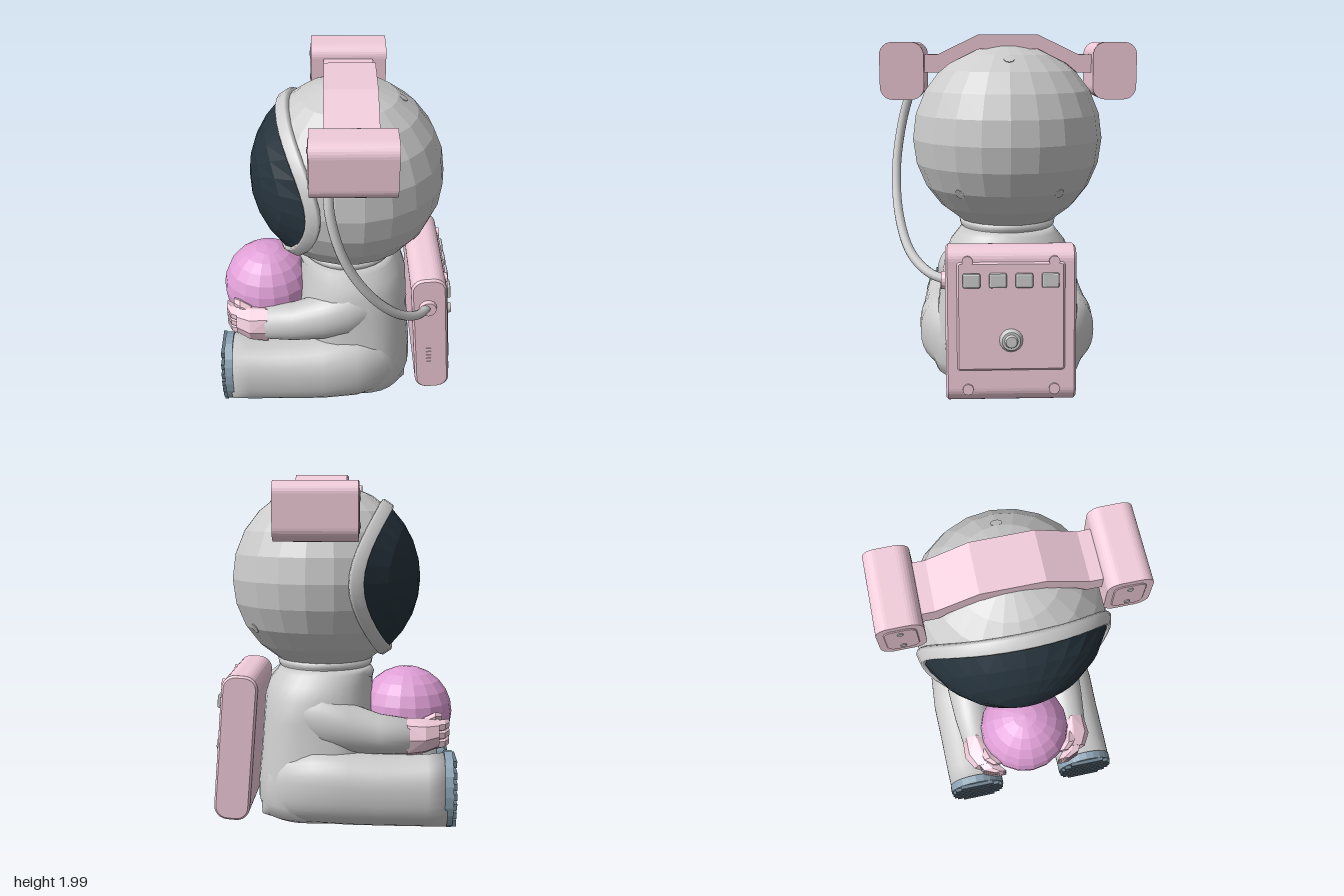
import * as THREE from 'three';
import { ConvexGeometry } from 'three/addons/geometries/ConvexGeometry.js';
import { RoundedBoxGeometry } from 'three/addons/geometries/RoundedBoxGeometry.js';

const mat = (color, flatShading = false) => new THREE.MeshStandardMaterial({ color, flatShading });
const grey = mat(0xcccccc), greyFlat = mat(0xcccccc, true);
const pink = mat(0xf0cbd9, true), orchid = mat(0xdf9fd6, true);
const slate = mat(0x8ba2b3, true), tread = mat(0x647786, true), glass = mat(0x26333c, true);
const V = (x, y, z) => new THREE.Vector3(x, y, z);

function add(parent, name, geometry, material, x = 0, y = 0, z = 0) {
  const m = new THREE.Mesh(geometry, material);
  m.name = name;
  m.position.set(x, y, z);
  parent.add(m);
  return m;
}

// Skin a list of equal-length rings; winding is set so the solid faces outward
function loft(rings, caps = true) {
  const n = rings[0].length, pts = rings.flat(), idx = [];
  for (let i = 0; i < rings.length - 1; i++)
    for (let j = 0; j < n; j++) {
      const a = i * n + j, b = i * n + (j + 1) % n;
      idx.push(a, b, a + n, b, b + n, a + n);
    }
  if (caps) for (const end of [0, rings.length - 1]) {
    const c = pts.length;
    pts.push(rings[end].reduce((s, p) => s.add(p), V(0, 0, 0)).divideScalar(n));
    for (let j = 0; j < n; j++) {
      const a = end * n + j, b = end * n + (j + 1) % n;
      idx.push(...(end ? [a, b, c] : [b, a, c]));
    }
  }
  let volume = 0;
  for (let i = 0; i < idx.length; i += 3)
    volume += pts[idx[i]].dot(pts[idx[i + 1]].clone().cross(pts[idx[i + 2]]));
  if (volume < 0) idx.reverse();
  const g = new THREE.BufferGeometry().setFromPoints(pts);
  g.setIndex(idx);
  g.computeVertexNormals();
  return g;
}

// Superellipse ring around centre c, spanned by axes u and v
function ring(c, u, v, p = 2, n = 32) {
  const f = t => Math.sign(t) * Math.abs(t) ** (2 / p);
  return Array.from({ length: n }, (_, i) => {
    const a = i / n * Math.PI * 2;
    return c.clone().addScaledVector(u, f(Math.cos(a))).addScaledVector(v, f(Math.sin(a)));
  });
}
const xRing = (x, y, z, ry, rz, p, n) => ring(V(x, y, z), V(0, ry, 0), V(0, 0, rz), p, n);
const yRing = (y, x0, x1, rz, p) => ring(V((x0 + x1) / 2, y, 0), V((x1 - x0) / 2, 0, 0), V(0, 0, rz), p);

function roundedRect(w, h, r) {
  const s = new THREE.Shape(), x = w / 2 - r, y = h / 2 - r;
  s.absarc(x, y, r, 0, Math.PI / 2);
  s.absarc(-x, y, r, Math.PI / 2, Math.PI);
  s.absarc(-x, -y, r, Math.PI, Math.PI * 1.5);
  s.absarc(x, -y, r, Math.PI * 1.5, Math.PI * 2);
  return s;
}
const extrude = (shape, depth, bevel = 0) => new THREE.ExtrudeGeometry(shape, {
  depth: depth - 2 * bevel, curveSegments: 4, bevelEnabled: bevel > 0,
  bevelSize: bevel, bevelOffset: -bevel, bevelThickness: bevel, bevelSegments: 1,
}).translate(0, 0, bevel - depth / 2);
const xDisc = (r1, r2, h, n = 12) => new THREE.CylinderGeometry(r1, r2, h, n).rotateZ(-Math.PI / 2);

function buildBody(root) {
  const torso = [
    [0.012, -0.2, 0.38, 0.38], [0.04, -0.25, 0.43, 0.43], [0.12, -0.26, 0.45, 0.46], [0.25, -0.26, 0.445, 0.46],
    [0.4, -0.26, 0.43, 0.42], [0.6, -0.25, 0.415, 0.395], [0.72, -0.24, 0.41, 0.375], [0.8, -0.235, 0.385, 0.34],
    [0.86, -0.23, 0.34, 0.29], [0.89, -0.22, 0.32, 0.27]];
  add(root, 'torso', loft(torso.map(([y, a, b, z]) => yRing(y, a, b, z, y < 0.7 ? 2.7 : 2.2))), grey);
  const collar = [[0.2, -0.09], [0.285, -0.09], [0.295, -0.05], [0.28, -0.025], [0.265, -0.02], [0.28, 0], [0.285, 0.03], [0.24, 0.06]];
  add(root, 'neckRing', new THREE.LatheGeometry(collar.map(p => new THREE.Vector2(...p)), 32), grey, 0.05, 0.9, 0);

  for (const s of [1, -1]) {
    const side = s > 0 ? 'left' : 'right';
    const leg = [[-0.66, 0.36, 0.21, 0.168], [-0.55, 0.36, 0.203, 0.172], [-0.3, 0.355, 0.2, 0.18], [-0.1, 0.345, 0.21, 0.195],
      [0.1, 0.31, 0.22, 0.215], [0.25, 0.265, 0.205, 0.19], [0.36, 0.24, 0.17, 0.13], [0.41, 0.22, 0.1, 0.06]];
    add(root, side + 'Leg', loft(leg.map(([x, z, ry, rz]) => xRing(x, 0.015 + ry, z * s, ry, rz, 2.35))), grey);
    const arm = [[0.3, 0.64, 0.24, 0.05, 0.05], [0.2, 0.63, 0.26, 0.13, 0.11], [0.05, 0.6, 0.285, 0.165, 0.135],
      [-0.1, 0.565, 0.295, 0.145, 0.13], [-0.28, 0.53, 0.3, 0.117, 0.115], [-0.45, 0.52, 0.3, 0.1, 0.095]];
    add(root, side + 'Arm', loft(arm.map(([x, y, z, ry, rz]) => xRing(x, y, z * s, ry, rz))), grey);

    // Boot sole with horizontal tread bars
    add(root, side + 'Sole', loft([-0.645, -0.692].map(x => xRing(x, 0.23, 0.36 * s, 0.22, 0.172, 2.1, 24))), slate);
    for (let i = -3; i <= 3; i++) {
      const w = 0.33 * Math.sqrt(1 - (i * 0.057 / 0.22) ** 2);
      add(root, side + 'Tread', new THREE.BoxGeometry(0.02, 0.036, w), tread, -0.702, 0.23 + i * 0.057, 0.36 * s);
    }

    // Mitten: palm hull, curled fingers and thumb
    const palm = [xRing(-0.435, 0.515, 0.31 * s, 0.115, 0.085, 2, 8), xRing(-0.54, 0.52, 0.3 * s, 0.1, 0.1, 2, 8),
      xRing(-0.62, 0.53, 0.27 * s, 0.085, 0.085, 2, 8)].flat();
    add(root, side + 'Palm', new ConvexGeometry(palm), pink);
    for (let i = 0; i < 3; i++) {
      const y = 0.475 + i * 0.05, f = [xRing(-0.59, y, 0.29 * s, 0.035, 0.05, 2, 6),
        xRing(-0.655, y, 0.25 * s, 0.033, 0.06, 2, 6), xRing(-0.685, y, 0.2 * s, 0.025, 0.04, 2, 6)].flat();
      add(root, side + 'Finger', new ConvexGeometry(f), pink);
    }
    const thumb = [xRing(-0.53, 0.59, 0.27 * s, 0.03, 0.04, 2, 6), xRing(-0.6, 0.615, 0.25 * s, 0.035, 0.04, 2, 6),
      xRing(-0.64, 0.61, 0.21 * s, 0.025, 0.03, 2, 6)].flat();
    add(root, side + 'Thumb', new ConvexGeometry(thumb), pink);
  }
  add(root, 'ball', new THREE.SphereGeometry(0.275, 18, 12), orchid, -0.44, 0.6, 0);
}

function buildHelmet(root) {
  const helmet = new THREE.Group();
  helmet.name = 'helmet';
  helmet.position.set(0.05, 1.41, 0);
  root.add(helmet);
  add(helmet, 'helmetShell', new THREE.SphereGeometry(0.553, 22, 12), greyFlat);

  // Ring on the sphere about the -x axis, following the oval visor outline
  const oval = (t, extra, r, n) => Array.from({ length: n }, (_, i) => {
    const a = i / n * Math.PI * 2, z = 0.51 * Math.cos(a), y = 0.4 * Math.sin(a);
    const d = Math.hypot(z, y), th = Math.asin(d / 0.56) * t + extra;
    return V(-Math.cos(th) * r, y / d * Math.sin(th) * r, z / d * Math.sin(th) * r);
  });
  add(helmet, 'visor', loft([0.03, 0.25, 0.5, 0.75, 1].map(t => oval(t, 0, 0.563, 24))), glass);
  const rim = [[0, 0.54], [0, 0.575], [0.02, 0.583], [0.12, 0.577], [0.14, 0.565], [0.14, 0.53], [0, 0.54]];
  add(helmet, 'visorRim', loft(rim.map(([e, r]) => oval(1, e, r, 40)), false), grey);

  // Small round fasteners on the back
  for (const [y, z] of [[0.46, 0], [-0.275, 0.275], [-0.275, -0.275]]) {
    const dir = V(Math.sqrt(0.55 ** 2 - y * y - z * z), y, z).normalize();
    const m = add(helmet, 'fastener', new THREE.CylinderGeometry(0.03, 0.03, 0.02, 12), grey);
    m.position.copy(dir).multiplyScalar(0.541);
    m.quaternion.setFromUnitVectors(V(0, 1, 0), dir);
  }
}

function buildHeadset(root) {
  // Angular band over the helmet, drawn in z and y
  const half = [[0.17, 2], [0.4, 1.89], [0.49, 1.89], [0.49, 1.79], [0.39, 1.79], [0.33, 1.84], [0.17, 1.92]];
  const outline = [...half, ...half.map(([z, y]) => [-z, y]).reverse()];
  const band = new THREE.Shape(outline.map(p => new THREE.Vector2(...p)));
  add(root, 'headBand', extrude(band, 0.29).rotateY(Math.PI / 2), pink, 0.06, 0, 0);
  for (const s of [1, -1]) {
    const lamp = new THREE.Group();
    lamp.name = s > 0 ? 'leftLamp' : 'rightLamp';
    lamp.position.set(0.063, 1.802, 0.592 * s);
    root.add(lamp);
    add(lamp, 'lampCase', extrude(roundedRect(0.244, 0.316, 0.07), 0.445).rotateY(Math.PI / 2), pink);
    add(lamp, 'lampPlate', extrude(roundedRect(0.17, 0.24, 0.045), 0.012, 0.004).rotateY(Math.PI / 2), pink, -0.222);
    for (const y of [0.075, -0.075]) add(lamp, 'lampScrew', xDisc(0.016, 0.016, 0.014), grey, -0.226, y, 0);
  }
}

function buildPack(root) {
  const pack = new THREE.Group();
  pack.name = 'backpack';
  pack.position.set(0.55, 0.443, 0);
  pack.rotation.z = 0.08;
  root.add(pack);
  add(pack, 'packCase', extrude(roundedRect(0.21, 0.86, 0.08), 0.71, 0.012), pink);
  add(pack, 'packPanel', extrude(roundedRect(0.59, 0.6, 0.02), 0.03, 0.012).rotateY(Math.PI / 2), pink, 0.1, 0.05, 0);
  for (const y of [0.352, -0.352]) for (const z of [0.235, -0.235])
    add(pack, 'packScrew', xDisc(0.03, 0.03, 0.04), pink, 0.098, y, z);
  for (let i = 0; i < 4; i++)
    add(pack, 'button', new RoundedBoxGeometry(0.05, 0.08, 0.095, 1, 0.01), greyFlat, 0.112, 0.25, (i - 1.5) * 0.142);
  add(pack, 'knobBase', xDisc(0.05, 0.066, 0.03, 16), grey, 0.127, -0.08, 0);
  add(pack, 'knob', xDisc(0.03, 0.04, 0.03, 16), grey, 0.148, -0.08, 0);
  for (let i = 0; i < 5; i++)
    add(pack, 'ventSlot', new THREE.BoxGeometry(0.03, 0.012, 0.008), pink, -0.015, -0.1 - i * 0.027, 0.355);
  add(pack, 'hoseSocket', new THREE.CylinderGeometry(0.048, 0.055, 0.04, 16).rotateX(Math.PI / 2), pink, -0.01, 0.23, 0.36);

  // Air hose from the left lamp down to the pack
  const path = new THREE.CatmullRomCurve3([V(-0.065, 1.68, 0.57), V(-0.055, 1.5, 0.62), V(0.02, 1.24, 0.655),
    V(0.17, 0.98, 0.635), V(0.34, 0.79, 0.56), V(0.46, 0.7, 0.45), V(0.525, 0.67, 0.34)]);
  add(root, 'airHose', new THREE.TubeGeometry(path, 48, 0.027, 10), grey);
}

export function createModel() {
  const root = new THREE.Group();
  root.name = 'seatedAstronaut';
  buildBody(root);
  buildHelmet(root);
  buildHeadset(root);
  buildPack(root);
  return root;
}
